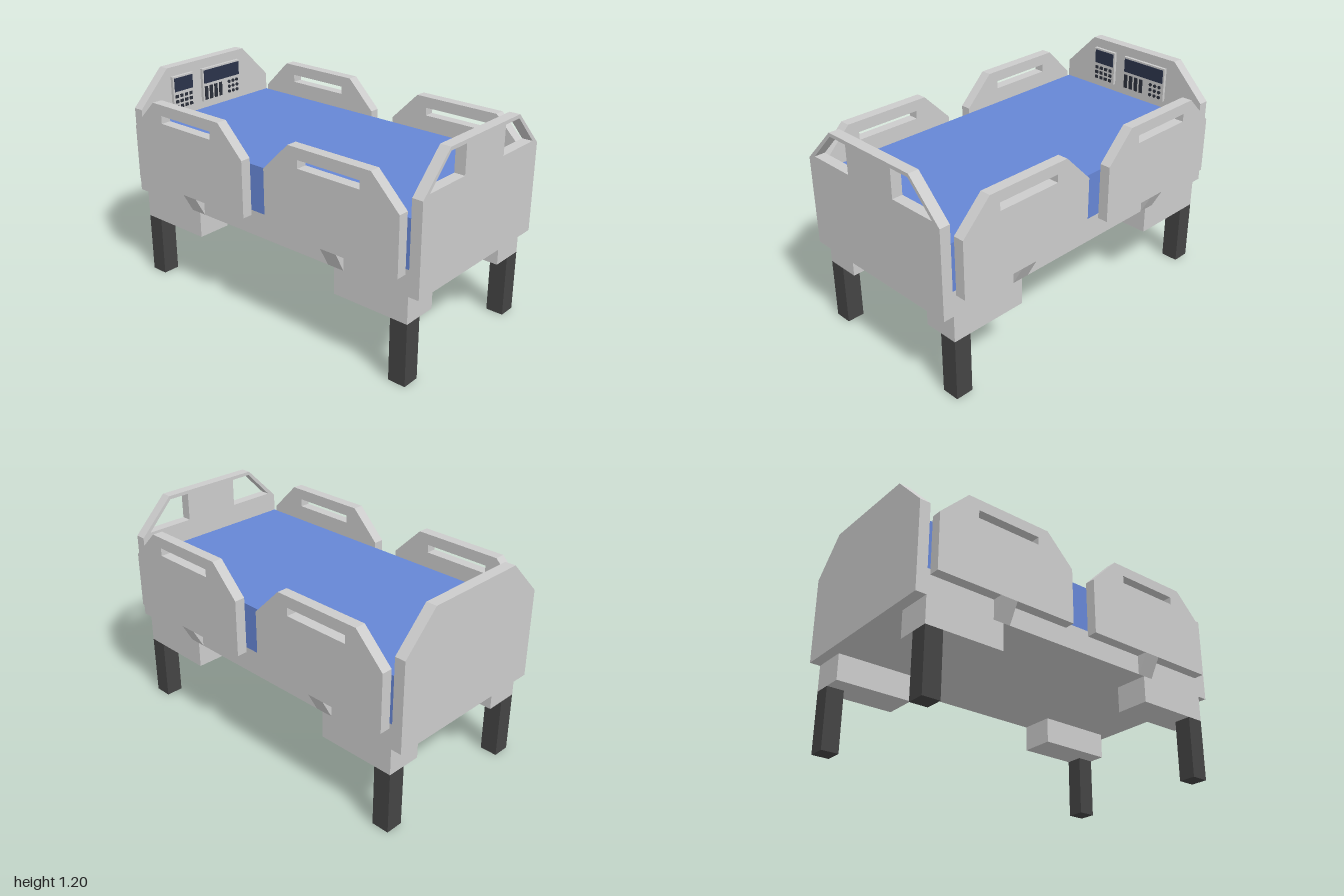
import * as THREE from 'three';

const mat = (color) => new THREE.MeshStandardMaterial({ color });
const grey = mat(0xcccccc);
const legMat = mat(0x444444);
const blue = mat(0x6686d5);
const screenMat = mat(0x2b334a);
const buttonMat = mat(0x2b2f3a);

function add(parent, name, geometry, material) {
  const mesh = new THREE.Mesh(geometry, material);
  mesh.name = name;
  parent.add(mesh);
  return mesh;
}

// Box given by its extents on each axis
function box(parent, name, material, [x0, x1], [y0, y1], [z0, z1]) {
  const mesh = add(parent, name, new THREE.BoxGeometry(x1 - x0, y1 - y0, z1 - z0), material);
  mesh.position.set((x0 + x1) / 2, (y0 + y1) / 2, (z0 + z1) / 2);
  return mesh;
}

const toPoints = (list) => list.map(([x, y]) => new THREE.Vector2(x, y));

function plate(outline, holes, depth) {
  const shape = new THREE.Shape(toPoints(outline));
  holes.forEach((h) => shape.holes.push(new THREE.Path(toPoints(h))));
  return new THREE.ExtrudeGeometry(shape, { depth, bevelEnabled: false });
}

// Plate whose outline lies in the (-z, y) plane, extruded from x0 along +x
function crossPlate(outline, holes, x0, depth) {
  return plate(outline, holes, depth).rotateY(Math.PI / 2).translate(x0, 0, 0);
}

// Control panel on the inner face of the headboard; returns its group
function controlPanel(parent, name, z0, z1) {
  const panel = new THREE.Group();
  panel.name = name;
  parent.add(panel);
  box(panel, 'panelBody', grey, [-0.94, -0.922], [0.945, 1.145], [z0, z1]);
  box(panel, 'screen', screenMat, [-0.93, -0.917], [1.055, 1.135], [z0 + 0.01, z1 - 0.01]);
  return panel;
}

export function createModel() {
  const bed = new THREE.Group();
  bed.name = 'hospitalBed';

  // Base and mattress
  box(bed, 'frame', grey, [-0.94, 0.94], [0.5, 0.64], [-0.5, 0.5]);
  box(bed, 'mattress', blue, [-0.94, 0.94], [0.64, 0.9], [-0.5, 0.5]);

  // Corner blocks and legs
  for (const sx of [-1, 1]) {
    for (const sz of [-1, 1]) {
      const span = (s, a, b) => (s > 0 ? [a, b] : [-b, -a]);
      box(bed, 'cornerBlock', grey, span(sx, 0.49, 0.94), [0.35, 0.5], span(sz, 0.3, 0.5));
      box(bed, 'leg', legMat, span(sx, 0.84, 0.94), [0, 0.35], span(sz, 0.4, 0.5));
    }
  }

  // End boards; the footboard has two hand holes
  const board = [[-0.5, 0.5], [0.5, 0.5], [0.5, 1], [0.3, 1.2], [-0.3, 1.2], [-0.5, 1]];
  const handHoles = [1, -1].map((s) =>
    [[0.17, 1.02], [0.17, 1.18], [0.295, 1.18], [0.45, 1.02]].map(([z, y]) => [s * z, y]));
  add(bed, 'headboard', crossPlate(board, [], -1, 0.06), grey);
  add(bed, 'footboard', crossPlate(board, handHoles, 0.94, 0.06), grey);

  // Side rails with a grip slot, each carried by a wedge bracket
  const rail = [[-0.422, 0.61], [0.422, 0.61], [0.422, 0.93], [0.255, 1.097],
    [-0.255, 1.097], [-0.422, 0.93]];
  const slot = [[-0.192, 0.99], [-0.192, 1.035], [0.192, 1.035], [0.192, 0.99]];
  for (const side of [-1, 1]) {
    for (const x of [-0.502, 0.498]) {
      const mesh = add(bed, 'sideRail', plate(rail, [slot], 0.06), grey);
      mesh.position.set(x, 0, side > 0 ? 0.5 : -0.56);
    }
    const wedge = [[0.5, 0.5], [0.56, 0.61], [0.5, 0.61]].map(([z, y]) => [-side * z, y]);
    for (const x of [-0.55, 0.45]) {
      add(bed, 'railBracket', crossPlate(wedge, [], x, 0.1), grey);
    }
  }

  // Small control panel with a keypad
  const small = controlPanel(bed, 'smallControlPanel', 0.122, 0.277);
  for (let col = 0; col < 4; col++) {
    for (let row = 0; row < 3; row++) {
      const z = 0.254 - col * 0.035;
      const y = 1.026 - row * 0.031;
      box(small, 'key', buttonMat, [-0.93, -0.916], [y - 0.009, y + 0.009], [z - 0.01, z + 0.01]);
    }
  }

  // Large control panel with sliders and round buttons
  const large = controlPanel(bed, 'largeControlPanel', -0.25, 0.05);
  for (let i = 0; i < 4; i++) {
    const z = 0.027 - i * 0.038;
    box(large, 'slider', buttonMat, [-0.93, -0.916], [0.955, 1.037], [z - 0.011, z + 0.011]);
  }
  for (let col = 0; col < 3; col++) {
    for (let row = 0; row < 3; row++) {
      const geometry = new THREE.CylinderGeometry(0.01, 0.01, 0.014, 16).rotateZ(Math.PI / 2);
      const button = add(large, 'roundButton', geometry, buttonMat);
      button.position.set(-0.923, 1.026 - row * 0.031, -0.158 - col * 0.032);
    }
  }

  return bed;
}
